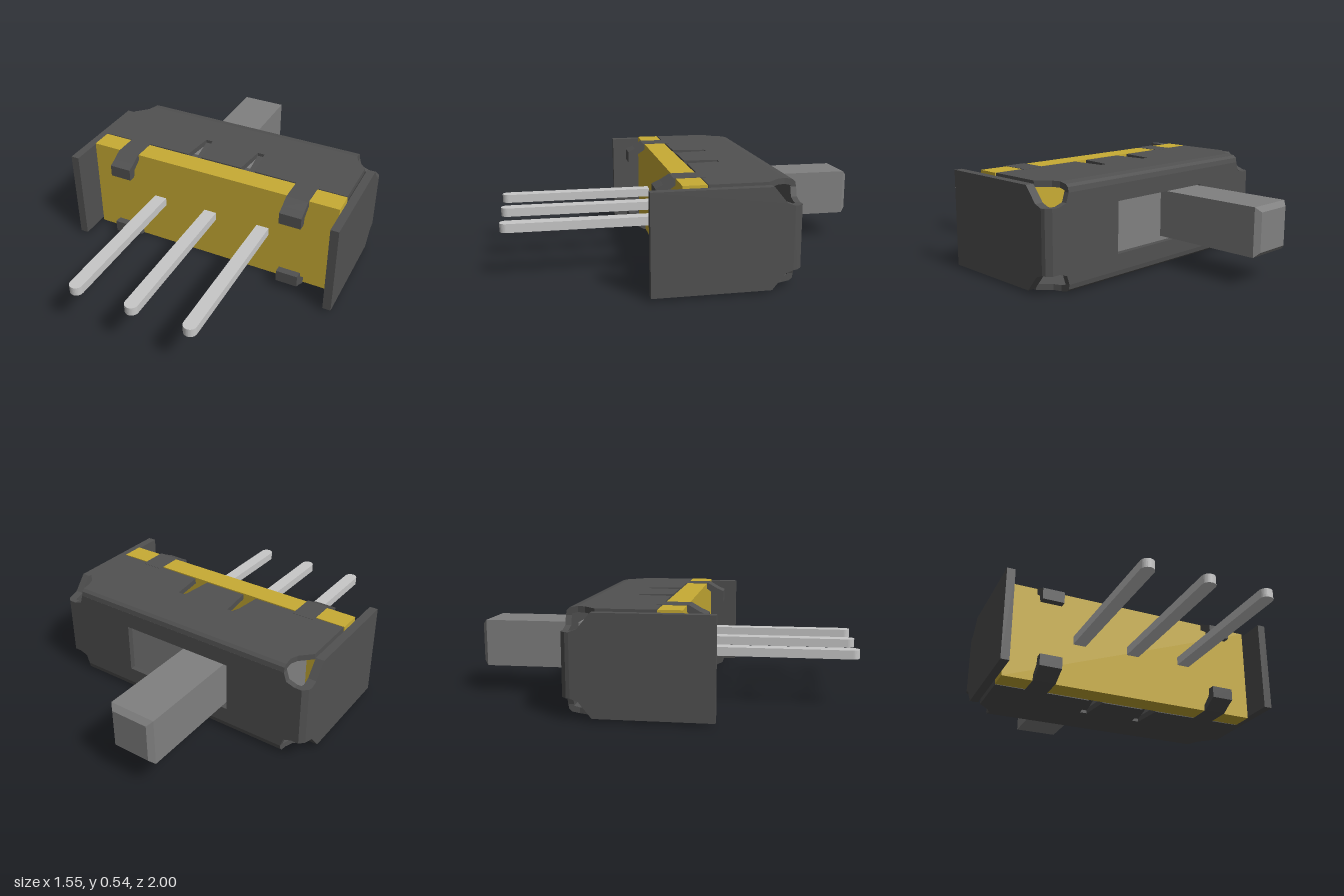
import * as THREE from 'three';

const MID = 0.2675; // half height of the body

const mat = (name, color) => {
  const m = new THREE.MeshStandardMaterial({ color });
  m.name = name;
  return m;
};

const poly = pts => new THREE.Shape(pts.map(p => new THREE.Vector2(...p)));
const path = pts => new THREE.Path(pts.map(p => new THREE.Vector2(...p)));

// Extrusion centred on its own depth
function slab(shape, depth, curveSegments = 8) {
  const g = new THREE.ExtrudeGeometry(shape, { depth, bevelEnabled: false, curveSegments });
  return g.translate(0, 0, -depth / 2);
}
const alongX = (pts, depth) => slab(poly(pts), depth).rotateY(-Math.PI / 2); // points are (z, y)
const alongY = (pts, depth) => slab(poly(pts), depth).rotateX(Math.PI / 2); // points are (x, z)

function add(parent, name, geo, material, x = 0, y = 0, z = 0) {
  const m = new THREE.Mesh(geo, material);
  m.name = name;
  m.position.set(x, y, z);
  parent.add(m);
  return m;
}

// Top sheet, one end plate, their bends and hooks; heights are relative to MID
function housingHalf(metal) {
  const half = new THREE.Group();
  const notch = x => [[x - 0.04, 0.02], [x - 0.02, -0.16], [x + 0.02, -0.16], [x + 0.04, 0.02]];

  // sheet with two tapered slits open to the front edge
  add(half, 'coverSheet', alongY([
    [-0.72, 0.025], ...notch(-0.16), ...notch(0.16), [0.72, 0.025],
    [0.72, -0.27], [0.66, -0.33], [0.645, -0.37], [-0.645, -0.37], [-0.66, -0.33], [-0.72, -0.27],
  ], 0.03), metal, 0, 0.2525);

  // spring tongues bent inwards below the slits
  for (const x of [-0.16, 0.16]) {
    add(half, 'springTongue', alongX([[-0.16, 0.25], [-0.16, 0.235], [0.02, 0.185], [0.02, 0.2]], 0.04), metal, x);
  }

  // rounded fold from the sheet to the back wall
  add(half, 'coverBend', alongX([
    [-0.37, 0.2675], [-0.41, 0.26], [-0.425, 0.247], [-0.43, 0.22],
    [-0.4, 0.22], [-0.4, 0.23], [-0.37, 0.2375],
  ], 1.29), metal);

  // hooks folded over the base
  for (const x of [-0.5, 0.5]) {
    add(half, 'retainingHook', alongX([
      [0.0, 0.269], [0.16, 0.269], [0.21, 0.24], [0.25, 0.222], [0.25, 0.158],
      [0.21, 0.158], [0.2, 0.2], [0.15, 0.235], [0.0, 0.235],
    ], 0.12), metal, x);
  }

  // end plate and its fold to the back wall
  add(half, 'endPlate', alongX([
    [0.31, 0.255], [-0.28, 0.255], [-0.345, 0.175], [-0.385, 0.16],
    [-0.385, -0.16], [-0.345, -0.175], [-0.28, -0.255], [0.31, -0.255],
  ], 0.045), metal, 0.7525);
  add(half, 'endBend', alongY([
    [0.775, -0.385], [0.77, -0.405], [0.745, -0.43], [0.7, -0.43],
    [0.7, -0.4], [0.725, -0.4], [0.73, -0.385],
  ], 0.32), metal);
  return half;
}

export function createModel() {
  const model = new THREE.Group();
  const metal = mat('dark metal', 0x515151);
  const yellow = mat('yellow base', 0xc8ac34);
  const grey = mat('grey slider', 0x808080);
  const silver = mat('silver pins', 0xc8c8c8);

  // base plate
  add(model, 'base', new THREE.BoxGeometry(1.445, 0.535, 0.12), yellow, 0, MID, 0.09);

  // housing: the second half is the first one turned half around z
  for (const turn of [0, Math.PI]) {
    const half = housingHalf(metal);
    half.name = turn ? 'housingLower' : 'housingUpper';
    half.position.y = MID;
    half.rotation.z = turn;
    model.add(half);
  }

  // back wall with clipped corners and slider slot
  const quarter = [[0.705, 0.16], [0.66, 0.175], [0.645, 0.222]];
  const back = poly([
    ...quarter,
    ...[...quarter].reverse().map(([x, y]) => [-x, y]),
    ...quarter.map(([x, y]) => [-x, -y]),
    ...[...quarter].reverse().map(([x, y]) => [x, -y]),
  ]);
  back.holes.push(path([[-0.32, -0.135], [-0.32, 0.135], [0.32, 0.135], [0.32, -0.135]]));
  add(model, 'backWall', slab(back, 0.03), metal, 0, MID, -0.415);

  // slider: carriage inside, handle with chamfered end
  add(model, 'sliderCarriage', new THREE.BoxGeometry(1.0, 0.36, 0.26), grey, -0.1, MID, -0.25);
  const handle = new THREE.ExtrudeGeometry(
    poly([[-0.1, -0.1], [0.1, -0.1], [0.1, 0.1], [-0.1, 0.1]]),
    { depth: 0.65, bevelEnabled: true, bevelSize: 0.025, bevelThickness: 0.025, bevelSegments: 1 });
  add(model, 'sliderHandle', handle, grey, -0.175, 0.275, -0.975);

  // pins with rounded tips
  const pin = new THREE.Shape();
  pin.moveTo(-0.035, -0.08);
  pin.lineTo(0.035, -0.08);
  pin.lineTo(0.035, 0.965);
  pin.absarc(0, 0.965, 0.035, 0, Math.PI, false);
  pin.closePath();
  for (const x of [-0.3125, 0, 0.3125]) {
    add(model, 'pin', slab(pin, 0.046).rotateX(Math.PI / 2), silver, x, 0.271, 0);
  }
  return model;
}
